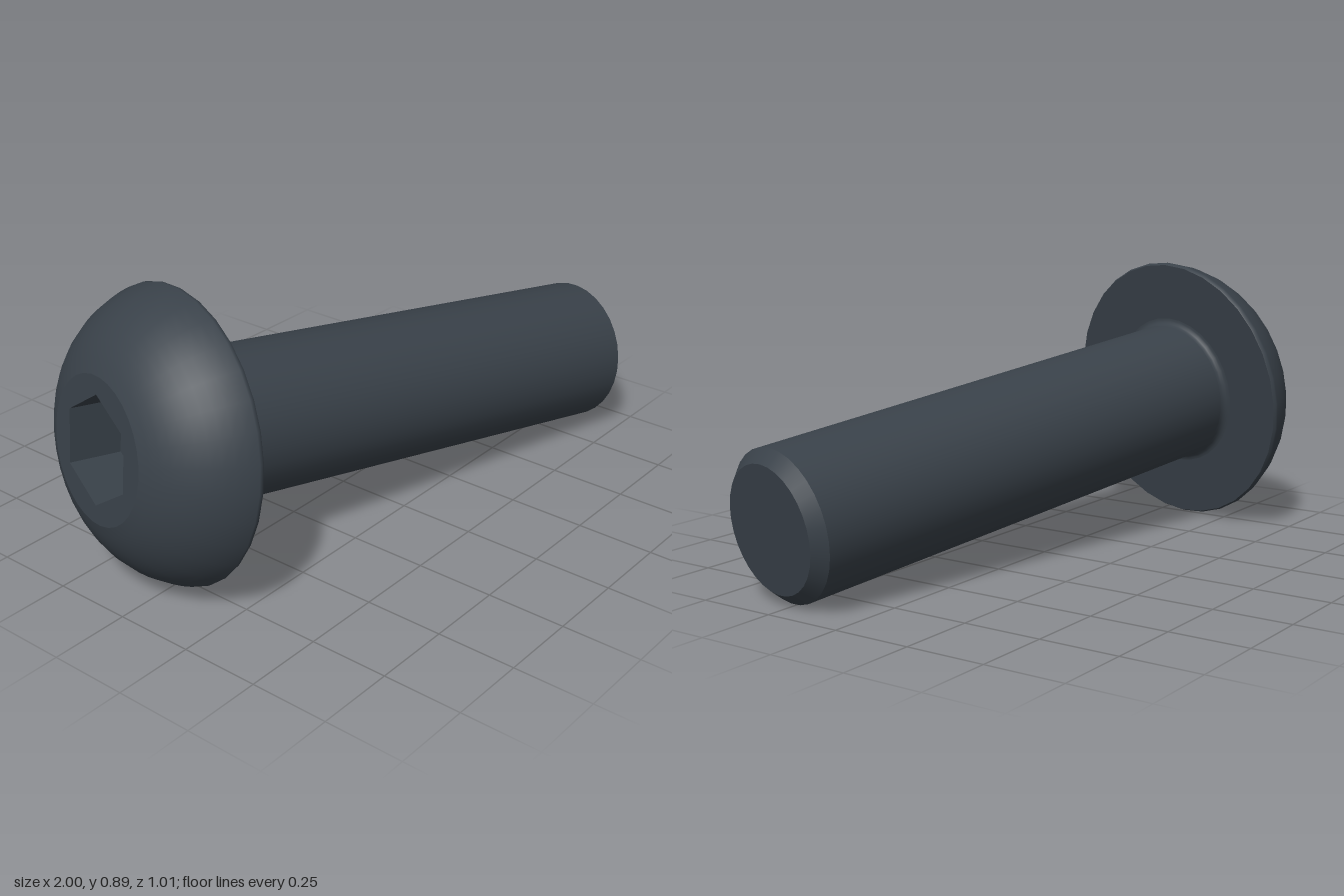
import * as THREE from 'three';

const SIDES = 32;
const steel = new THREE.MeshStandardMaterial({ color: 0x394149 });
steel.name = 'darkSteel';

// Sizes along the bolt axis, measured from the underside of the head
const TIP = -1.703, CHAMFER = 0.038, SHAFT_R = 0.233, FILLET = 0.022;
const HEAD_R = 0.447, HEAD_H = 0.255, TOP_R = 0.22;
const HEX_R = 0.165, HEX_DEPTH = 0.17, HEX_TURN = 0.08;

export function createModel() {
  const model = new THREE.Group();
  model.name = 'buttonHeadBolt';
  const bolt = new THREE.Group();
  bolt.name = 'bolt';
  model.add(bolt);

  const add = (name, geometry, parent = bolt) => {
    const mesh = new THREE.Mesh(geometry, steel);
    mesh.name = name;
    parent.add(mesh);
    return mesh;
  };
  // Each turned surface is its own lathe, so the edges between them stay sharp
  const turned = (name, points) =>
    add(name, new THREE.LatheGeometry(points.map(([r, y]) => new THREE.Vector2(r, y)), SIDES));

  // Shaft
  turned('tipFace', [[0, TIP], [SHAFT_R - CHAMFER, TIP]]);
  turned('tipChamfer', [[SHAFT_R - CHAMFER, TIP], [SHAFT_R, TIP + CHAMFER]]);
  turned('shaft', [[SHAFT_R, TIP + CHAMFER], [SHAFT_R, -FILLET]]);
  const neck = [];
  for (let i = 0; i <= 5; i++) {
    const a = (i / 5) * Math.PI / 2;
    neck.push([SHAFT_R + FILLET * (1 - Math.cos(a)), -FILLET * (1 - Math.sin(a))]);
  }
  turned('neckFillet', neck);

  // Head: flat underside, thin rim and an arc up to the flat top
  turned('headUnderside', [[SHAFT_R + FILLET, 0], [HEAD_R - 0.005, 0]]);
  const dome = [[HEAD_R - 0.005, 0], [HEAD_R, 0.008]];
  const start = new THREE.Vector2(HEAD_R, 0.016), end = new THREE.Vector2(TOP_R, HEAD_H);
  const chord = end.clone().sub(start);
  const out = new THREE.Vector2(chord.y, -chord.x).normalize();
  const sag = 0.042, half = chord.length() / 2;
  const radius = (half * half + sag * sag) / (2 * sag);
  const mid = start.clone().add(end).multiplyScalar(0.5);
  const centre = mid.clone().addScaledVector(out, sag - radius);
  const a0 = Math.atan2(start.y - centre.y, start.x - centre.x);
  const a1 = Math.atan2(end.y - centre.y, end.x - centre.x);
  for (let i = 0; i <= 10; i++) {
    const a = a0 + (a1 - a0) * i / 10;
    dome.push([centre.x + radius * Math.cos(a), centre.y + radius * Math.sin(a)]);
  }
  turned('headDome', dome);

  // Flat top with a hexagonal opening
  const ring = (r, n, turn) => Array.from({ length: n }, (_, k) => {
    const a = turn + (k / n) * Math.PI * 2;
    return new THREE.Vector2(r * Math.cos(a), r * Math.sin(a));
  });
  const face = new THREE.Shape(ring(TOP_R, SIDES, 0));
  face.holes.push(new THREE.Path(ring(HEX_R, 6, HEX_TURN)));
  add('headTop', new THREE.ShapeGeometry(face).rotateX(-Math.PI / 2).translate(0, HEAD_H, 0));

  // Hex socket: six inward walls and a floor
  const socket = new THREE.Group();
  socket.name = 'hexSocket';
  bolt.add(socket);
  const apothem = HEX_R * Math.cos(Math.PI / 6);
  for (let k = 0; k < 6; k++) {
    add('socketWall', new THREE.PlaneGeometry(HEX_R, HEX_DEPTH)
      .rotateY(Math.PI)
      .translate(0, HEAD_H - HEX_DEPTH / 2, apothem)
      .rotateY(HEX_TURN + k * Math.PI / 3), socket);
  }
  add('socketFloor', new THREE.CircleGeometry(HEX_R, 6, HEX_TURN)
    .rotateX(-Math.PI / 2)
    .translate(0, HEAD_H - HEX_DEPTH, 0), socket);

  // Tilt the bolt: its tip points right, slightly down and forward
  const up = new THREE.Vector3(-0.970, 0.126, -0.207).normalize();
  const side = new THREE.Vector3(up.z, 0, -up.x).normalize();
  const across = new THREE.Vector3().crossVectors(up, side);
  bolt.quaternion.setFromRotationMatrix(new THREE.Matrix4().makeBasis(across, up, side));
  bolt.position.set(-0.70, 0.445, -0.068);
  return model;
}
